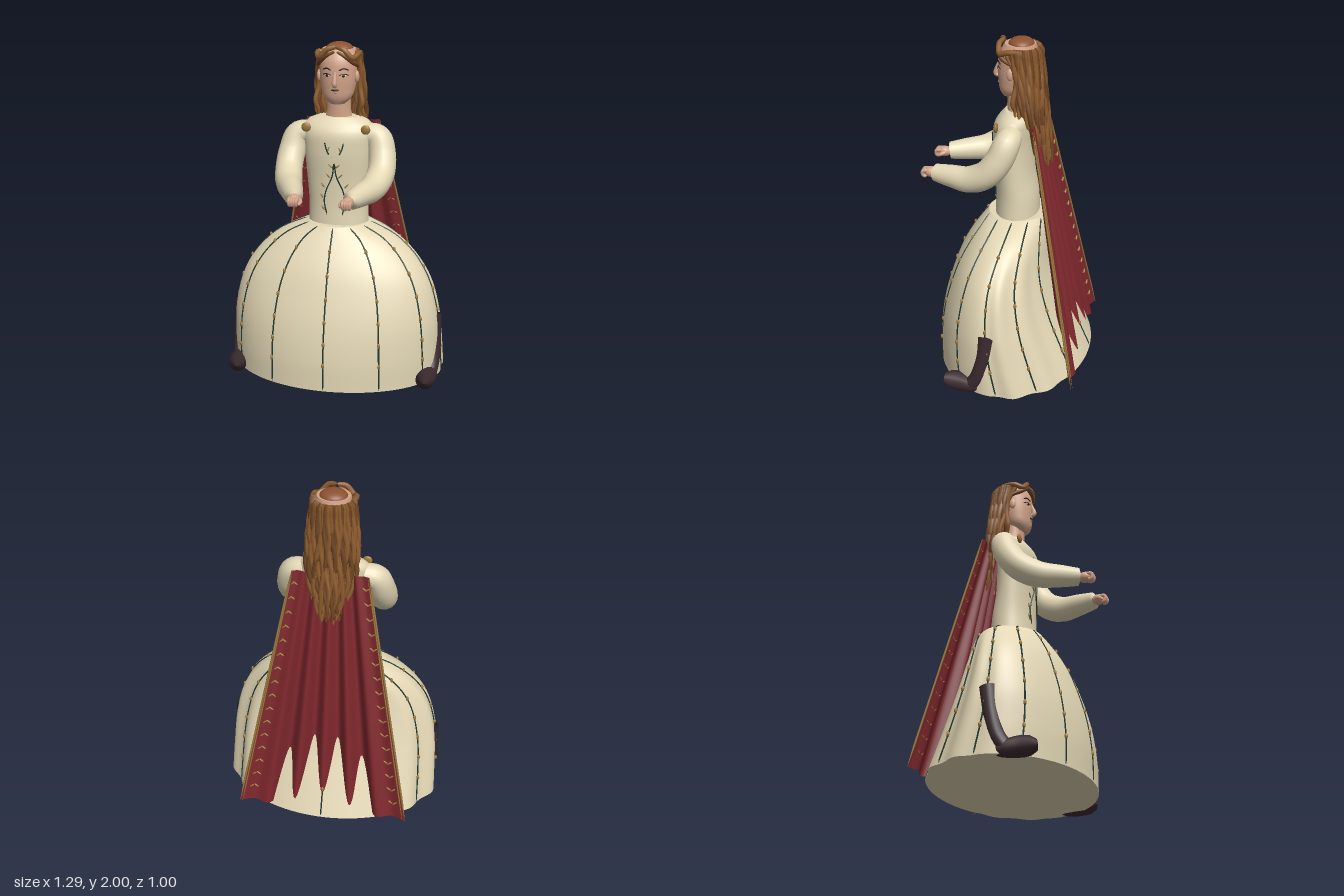
import * as THREE from 'three';

const mat = (name, color, side = THREE.FrontSide) => Object.assign(new THREE.MeshStandardMaterial({ color, side }), { name });
const M = {
  cream: mat('cream cloth', 0xe3d7b5),
  skin: mat('skin', 0xd3a48a),
  red: mat('red cloth', 0x7c262b, THREE.DoubleSide),
  green: mat('dark green thread', 0x20382f),
  gold: mat('gold', 0x9a783c),
  boot: mat('boot leather', 0x3b2a2f),
  hair: mat('hair', 0x8e5c2e),
  hairDark: mat('dark hair', 0x704523),
  cap: mat('cap', 0x8c5230),
  ink: mat('eye dark', 0x2a1c18),
};
const { lerp, smoothstep } = THREE.MathUtils;
const V = (x, y, z) => new THREE.Vector3(x, y, z);

// Body surface from cross-sections [y, half width, front z, back z]; returns point(angle, y, scale)
function surface(rows, fold = () => 1) {
  const ip = new THREE.CubicInterpolant(rows.map(r => r[0]), rows.flatMap(r => r.slice(1)), 3, [0, 0, 0]);
  const at = (a, y, k = 1) => {
    const [rx, zf, zb] = ip.evaluate(y);
    const f = fold(a, y) * k;
    return V(rx * f * Math.sin(a), y, (zf + zb) / 2 + (zf - zb) / 2 * f * Math.cos(a));
  };
  const front = (x, y, lift = 0.004) => {
    const a = Math.asin(x / ip.evaluate(y)[0]);
    return at(a, y).add(V(0, 0, lift));
  };
  return { at, front, y0: rows[0][0], y1: rows[rows.length - 1][0] };
}

// Skin a surface with closed ends
function loft(s, n, rows) {
  const list = [[s.y0, 0], [s.y0, 1]];
  for (let j = 0; j <= rows; j++) list.push([lerp(s.y0, s.y1, j / rows), 1]);
  list.push([s.y1, 1], [s.y1, 0]);
  const pos = [], idx = [];
  list.forEach(([y, k], j) => {
    for (let i = 0; i < n; i++) {
      pos.push(...s.at(i / n * Math.PI * 2, y, k).toArray());
      if (j === list.length - 1) continue;
      const a = j * n + i, b = j * n + (i + 1) % n;
      idx.push(a, b, a + n, b, b + n, a + n);
    }
  });
  const g = new THREE.BufferGeometry();
  g.setAttribute('position', new THREE.Float32BufferAttribute(pos, 3));
  g.setIndex(idx);
  g.computeVertexNormals();
  return g;
}

// Tube whose radius follows a list, pinched shut at both ends
function taper(points, radii, n = 24, sides = 8) {
  const curve = new THREE.CatmullRomCurve3(points);
  const g = new THREE.TubeGeometry(curve, n, 1, sides);
  const p = g.attributes.position, v = V(0, 0, 0);
  for (let i = 0; i <= n; i++) {
    const c = curve.getPointAt(i / n), f = i / n * (radii.length - 1), k = Math.min(Math.floor(f), radii.length - 2);
    const r = i === 0 || i === n ? 0.0005 : lerp(radii[k], radii[k + 1], f - k);
    for (let j = 0; j <= sides; j++) {
      const q = i * (sides + 1) + j;
      v.fromBufferAttribute(p, q).sub(c).multiplyScalar(r).add(c);
      p.setXYZ(q, v.x, v.y, v.z);
    }
  }
  return g;
}

export function createModel() {
  const root = new THREE.Group();
  const add = (name, geo, material, parent = root) => {
    const m = new THREE.Mesh(geo, material);
    m.name = name;
    parent.add(m);
    return m;
  };
  const group = name => { const g = new THREE.Group(); g.name = name; root.add(g); return g; };
  const unit = new THREE.SphereGeometry(1, 14, 10);
  const blob = (name, p, rx, ry, rz, material, parent = root, roll = 0) => {
    const m = add(name, unit, material, parent);
    m.position.copy(p);
    m.scale.set(rx, ry, rz);
    m.rotation.z = roll;
    return m;
  };

  // Bell skirt with a closed base, folded at the back corners
  const skirt = surface([
    [0.018, 0.645, 0.42, -0.5], [0.2, 0.638, 0.415, -0.42], [0.4, 0.622, 0.385, -0.335], [0.6, 0.572, 0.325, -0.27],
    [0.7, 0.52, 0.285, -0.25], [0.8, 0.435, 0.23, -0.24], [0.88, 0.325, 0.175, -0.23], [0.94, 0.18, 0.13, -0.22],
  ], (a, y) => {
    const back = -Math.cos(a);
    return 1 + 0.02 * Math.cos(14 * a) * smoothstep(back, -0.2, 0.2) * (1 - smoothstep(back, 0.7, 0.9)) * smoothstep(0.94 - y, 0, 0.4);
  });
  add('skirt', loft(skirt, 140, 40), M.cream);
  const trim = group('skirtSeams');
  for (let i = 0; i < 12; i++) {
    const a = i / 12 * Math.PI * 2, pts = [];
    for (let j = 0; j <= 16; j++) pts.push(skirt.at(a, lerp(0.025, 0.935, j / 16), 1.003));
    add('seam', taper(pts, [0.0045, 0.0045], 48, 6), M.green, trim);
    for (let j = 0; j < 6; j++) blob('bead', skirt.at(a, 0.18 + j * 0.128, 1.008), 0.009, 0.016, 0.009, M.gold, trim);
  }

  // Bodice
  const torso = surface([
    [0.92, 0.18, 0.09, -0.17], [1.05, 0.178, 0.085, -0.165], [1.2, 0.185, 0.088, -0.14], [1.4, 0.2, 0.1, -0.13],
    [1.5, 0.205, 0.09, -0.135], [1.55, 0.18, 0.055, -0.135], [1.575, 0.12, 0.03, -0.12],
  ]);
  add('bodice', loft(torso, 48, 30), M.cream);

  // Vine embroidery on the bodice
  const vines = group('bodiceEmbroidery');
  for (const s of [-1, 1]) {
    const line = (pts, r) => add('vine', taper(pts.map(([x, y]) => torso.front(s * x, y)), [r, r], 20, 6), M.green, vines);
    line([[0.002, 1.32], [0.012, 1.24], [0.05, 1.15], [0.062, 1.08], [0.045, 1.0]], 0.004);
    line([[0.055, 1.44], [0.045, 1.4], [0.03, 1.37]], 0.004);
    for (const [x, y, t] of [[0.02, 1.3, 0.9], [0.035, 1.24, 0.8], [0.07, 1.18, 0.7], [0.075, 1.11, 0.5], [0.07, 1.04, 0.6], [0.035, 1.4, -0.4]])
      blob('leaf', torso.front(s * x, y), 0.0045, 0.018, 0.004, M.gold, vines, -s * t);
  }

  // Arms, hands, shoulder brooches and boots
  for (const s of [-1, 1]) {
    const side = s > 0 ? 'left' : 'right';
    add(side + 'Sleeve', taper([
      V(s * 0.16, 1.475, -0.035), V(s * 0.235, 1.455, -0.025), V(s * 0.268, 1.36, 0.015), V(s * 0.272, 1.27, 0.085),
      V(s * 0.245, 1.215, 0.19), V(s * 0.2, 1.205, 0.31), V(s * 0.158, 1.2, 0.425),
    ], [0.064, 0.078, 0.08, 0.08, 0.08, 0.072, 0.063, 0.05], 48, 20), M.cream);
    const hand = group(side + 'Hand');
    blob('palm', V(s * 0.152, 1.198, 0.445), 0.034, 0.032, 0.042, M.skin, hand);
    for (let i = 0; i < 4; i++)
      add('finger', taper([V(s * (0.13 + i * 0.014), 1.212, 0.455), V(s * (0.13 + i * 0.014), 1.205, 0.49),
        V(s * (0.133 + i * 0.012), 1.178, 0.488), V(s * (0.135 + i * 0.011), 1.176, 0.465)], [0.01, 0.012, 0.011, 0.009], 14, 8), M.skin, hand);
    add('thumb', taper([V(s * 0.126, 1.2, 0.43), V(s * 0.113, 1.19, 0.46), V(s * 0.12, 1.178, 0.482)], [0.012, 0.012, 0.009], 10, 8), M.skin, hand);
    blob(side + 'Brooch', V(s * 0.175, 1.515, 0.052), 0.028, 0.028, 0.012, M.gold);
    const boot = group(side + 'Boot');
    add('shaft', taper([V(s * 0.588, 0.41, 0.02), V(s * 0.595, 0.23, 0.045), V(s * 0.595, 0.12, 0.075), V(s * 0.588, 0.05, 0.12)],
      [0.054, 0.05, 0.05, 0.045], 30, 16), M.boot, boot);
    add('foot', taper([V(s * 0.588, 0.05, 0.05), V(s * 0.588, 0.052, 0.12), V(s * 0.578, 0.058, 0.2), V(s * 0.572, 0.06, 0.287)],
      [0.025, 0.042, 0.05, 0.056, 0.058, 0.052, 0.028], 30, 16), M.boot, boot);
  }

  // Pleated cape with shallow outer panels
  const capeAt = (u, t, back = 0) => {
    const wave = Math.cos(6 * Math.PI * u), pleat = Math.abs(u) > 2 / 3 ? (1 + wave) * 0.3 + 0.4 : wave;
    return V(u * lerp(0.22, 0.51, t), lerp(1.53, 0.04, t), lerp(-0.15, -0.417, t) - lerp(0.015, 0.045, t) * pleat - back);
  };
  const capeGeo = new THREE.PlaneGeometry(2, 1, 96, 12), cp = capeGeo.attributes.position;
  for (let i = 0; i < cp.count; i++) cp.setXYZ(i, ...capeAt(cp.getX(i), 0.5 - cp.getY(i)).toArray());
  capeGeo.computeVertexNormals();
  add('cape', capeGeo, M.red);
  const capeTrim = group('capeTrim');
  for (const s of [-1, 1]) {
    for (const [u, back, r] of [[1, 0, 0.006], [0.97, 0.008, 0.004]])
      add('goldEdge', taper([capeAt(s * u, 0, back), capeAt(s * u, 0.5, back), capeAt(s * u, 1, back)], [r, r], 12, 6), M.gold, capeTrim);
    for (let i = 0; i < 16; i++) {
      const t = 0.05 + i * 0.059;
      for (const k of [-1, 1])
        blob('sprig', capeAt(s * (0.87 + k * 0.028), t, 0.005), 0.0045, 0.017, 0.006, M.gold, capeTrim, k * 0.9);
    }
  }

  // Neck and head
  add('neck', loft(surface([[1.54, 0.085, 0.02, -0.11], [1.6, 0.072, 0.02, -0.1], [1.72, 0.07, 0.025, -0.1]]), 28, 8), M.skin);
  const head = surface([
    [1.655, 0.045, 0.045, -0.05], [1.685, 0.078, 0.062, -0.08], [1.75, 0.1, 0.072, -0.12], [1.83, 0.11, 0.075, -0.145],
    [1.91, 0.11, 0.065, -0.15], [1.965, 0.095, 0.035, -0.14],
  ]);
  add('head', loft(head, 40, 24), M.skin);
  const dome = add('cap', new THREE.SphereGeometry(1, 28, 8, 0, Math.PI * 2, 0, Math.PI / 2), M.cap);
  dome.position.set(0, 1.96, -0.058);
  dome.scale.set(0.08, 0.04, 0.074);

  // Face
  const face = group('face');
  add('nose', taper([head.front(0, 1.85, -0.004), head.front(0, 1.8, 0.01), head.front(0, 1.775, 0.014), head.front(0, 1.765, -0.004)],
    [0.007, 0.011, 0.016, 0.012], 14, 10), M.skin, face);
  blob('upperLip', head.front(0, 1.742, 0), 0.024, 0.006, 0.006, M.ink, face);
  blob('lowerLip', head.front(0, 1.731, 0), 0.018, 0.006, 0.006, M.skin, face);
  for (const s of [-1, 1]) {
    blob('eyeWhite', head.front(s * 0.048, 1.825, -0.001), 0.02, 0.007, 0.004, M.cream, face).rotation.y = s * 0.35;
    blob('iris', head.front(s * 0.048, 1.825, 0.001), 0.009, 0.008, 0.004, M.ink, face).rotation.y = s * 0.35;
    const arc = (y, lift, r) => add(lift > 0.01 ? 'brow' : 'eyelid', taper([0.022, 0.048, 0.076].map((x, i) =>
      head.front(s * x, y + (i === 1 ? lift : 0), 0.001)), [r, r], 10, 6), M.ink, face);
    arc(1.827, 0.008, 0.003);
    arc(1.855, 0.011, 0.004);
    blob('ear', V(s * 0.11, 1.81, -0.015), 0.014, 0.035, 0.02, M.skin, face);
  }

  // Long loose hair in two layers of wavy strands, rolled over the crown
  const hair = group('hair');
  const tone = i => (i % 3 === 1 ? M.hairDark : M.hair);
  for (const [layer, n] of [[1, 30], [0.84, 24]]) {
    for (let i = 0; i < n; i++) {
      const a = lerp(1.35, Math.PI * 2 - 1.35, i / (n - 1)), sn = Math.sin(a) * layer, cs = Math.cos(a) * layer;
      const end = lerp(1.56, 1.27, smoothstep(-cs, 0, 0.4)) + 0.03 * Math.sin(i * 2.7);
      const pts = [V(Math.sin(a) * 0.093, 1.94, -0.057 + Math.cos(a) * 0.088)];
      for (let j = 0; j <= 11; j++) {
        const t = j / 11, y = lerp(1.945, end, t), d = (1.945 - y) / 0.7;
        const w = 0.013 * Math.sin(d * 13 + i * 1.9) * smoothstep(d, 0, 0.3);
        const wide = lerp(0.118 + 0.02 * Math.sin(Math.min(d * 2.4, Math.PI)), 0.075, smoothstep(d, 0.55, 1));
        pts.push(V(sn * wide + w, y, -0.055 - 0.09 * d + cs * lerp(0.114, 0.095, d) + 0.008 * Math.cos(d * 12 + i * 2.3) * t));
      }
      add('strand', taper(pts, [0.013, 0.016, 0.016, 0.015, 0.008], 34, 6), tone(i), hair);
    }
  }

  // Front braids over the forehead, and locks framing the face
  for (const s of [-1, 1]) {
    add('frontBraid', taper([V(0, 1.985, 0.04), V(s * 0.05, 1.97, 0.058), V(s * 0.095, 1.925, 0.045), V(s * 0.118, 1.94, 0.0), V(s * 0.12, 1.945, -0.06)],
      [0.012, 0.016, 0.017, 0.016, 0.013], 28, 8), M.hair, hair);
    add('innerBraid', taper([V(s * 0.005, 1.96, 0.055), V(s * 0.05, 1.938, 0.062), V(s * 0.095, 1.9, 0.035), V(s * 0.118, 1.87, -0.02)],
      [0.007, 0.011, 0.014, 0.011], 24, 8), M.hairDark, hair);
    for (let i = 0; i < 4; i++)
      add('sideLock', taper([V(s * 0.11, 1.93, 0.01 - i * 0.02), V(s * 0.118, 1.82, -0.045 - i * 0.016), V(s * (0.122 - i * 0.008), 1.74, -0.05 - i * 0.016),
        V(s * (0.138 - i * 0.016), 1.65, -0.035 - i * 0.018), V(s * (0.122 - i * 0.015), 1.6, -0.045 - i * 0.016), V(s * (0.13 - i * 0.018), 1.55, -0.05 - i * 0.016)],
      [0.012, 0.014, 0.015, 0.014, 0.006], 28, 8), tone(i), hair);
  }
  return root;
}
